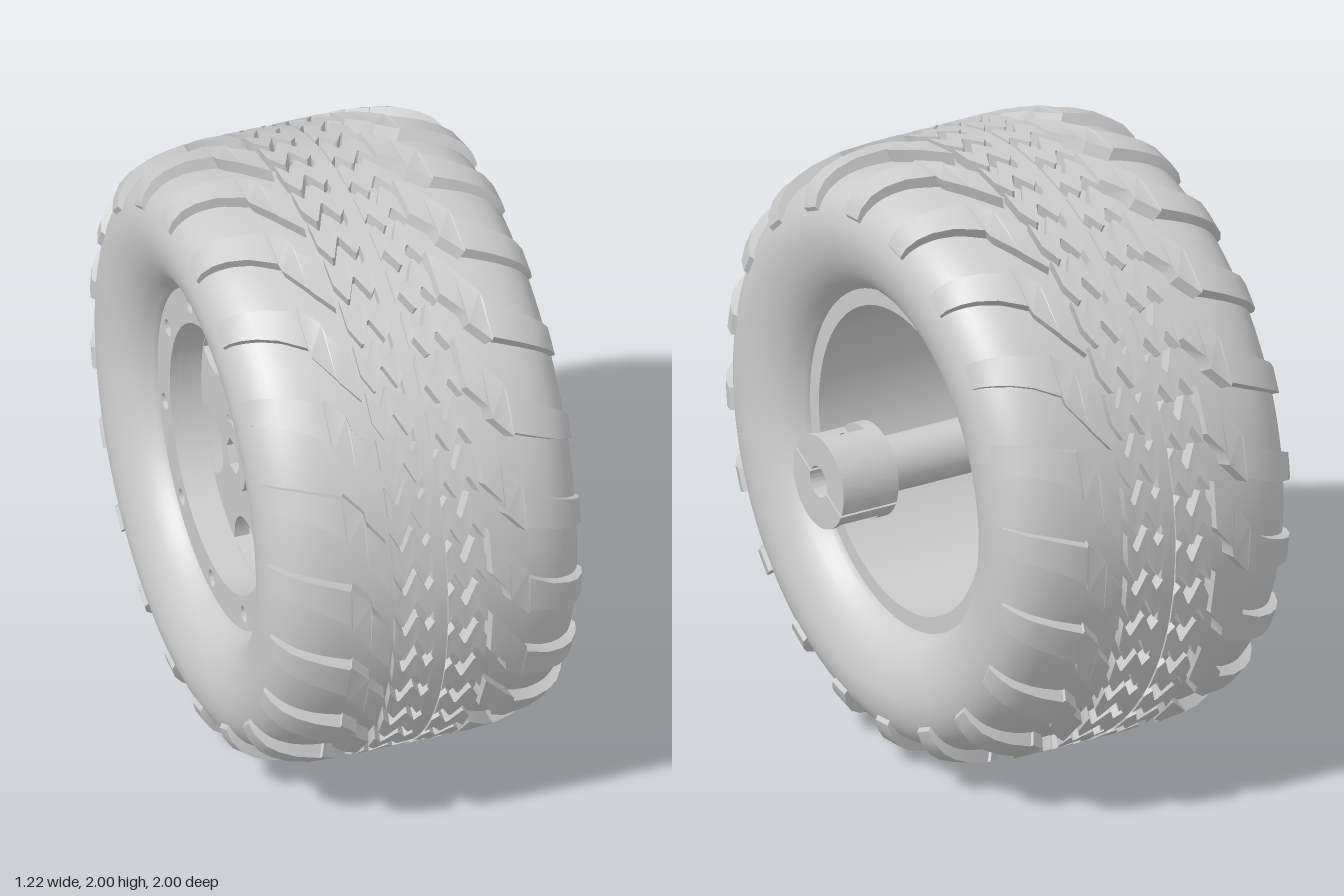
import * as THREE from 'three';
import { mergeGeometries, toCreasedNormals } from 'three/addons/utils/BufferGeometryUtils.js';

const MID = -0.085; // x of the tyre's middle plane
const V = (x, y) => new THREE.Vector2(x, y);

export function createModel() {
  const root = new THREE.Group();
  root.name = 'wheel';
  root.position.y = 1;
  const mat = new THREE.MeshStandardMaterial({ color: 0xcccccc });

  const add = (name, geo, crease = 0.6) => {
    const mesh = new THREE.Mesh(toCreasedNormals(geo, crease), mat);
    mesh.name = name;
    root.add(mesh);
    return mesh;
  };
  // Lathe around the axle; points are (radius, x)
  const lathe = (pts, seg = 80) => new THREE.LatheGeometry(pts, seg).rotateZ(-Math.PI / 2);
  // Shape in the wheel plane, extruded from x0 to x1
  const plate = (shape, x0, x1) => new THREE.ExtrudeGeometry(shape, { depth: x1 - x0, bevelEnabled: false, curveSegments: 32 })
    .rotateY(Math.PI / 2).translate(x0, 0, 0);
  const rod = (r, x0, x1, seg = 32) => new THREE.CylinderGeometry(r, r, x1 - x0, seg)
    .rotateZ(-Math.PI / 2).translate((x0 + x1) / 2, 0, 0);
  const disc = (r, x = 0, y = 0) => new THREE.Path().absarc(x, y, r, 0, Math.PI * 2);

  // Tyre carcass
  const half = [[0.56, 0.40], [0.60, 0.46], [0.67, 0.505], [0.76, 0.525], [0.84, 0.51],
    [0.90, 0.465], [0.937, 0.39], [0.952, 0.28], [0.956, 0.1]];
  const section = [...half.map(([r, u]) => V(r, -u)), ...half.slice().reverse().map(([r, u]) => V(r, u))];
  const profile = new THREE.SplineCurve(section).getPoints(56);
  add('tyreCarcass', lathe([...profile, profile[0].clone()], 96).translate(MID, 0, 0), 0.8);

  // Tread block swept along rows of [u, angle, half width in radians, top radius];
  // side -1 is the half-turn copy on the other half of the tyre
  const block = (rows, turn, side) => {
    const pos = [], idx = [];
    rows.forEach(([u, a, h, top]) => {
      for (const [s, t] of [[-1, 0], [-1, 1], [1, 1], [1, 0]]) {
        const r = t ? top : top - 0.06;
        const ang = turn + side * (a + s * h);
        pos.push(MID + side * u * (t ? 1 : 0.92), r * Math.sin(ang), r * Math.cos(ang));
      }
    });
    const n = rows.length;
    for (let i = 0; i < n - 1; i++) for (let k = 0; k < 4; k++) {
      const a = i * 4 + k, b = i * 4 + (k + 1) % 4;
      idx.push(a, a + 4, b + 4, a, b + 4, b);
    }
    const e = (n - 1) * 4;
    idx.push(0, 1, 2, 0, 2, 3, e, e + 2, e + 1, e, e + 3, e + 2);
    const g = new THREE.BufferGeometry();
    g.setAttribute('position', new THREE.Float32BufferAttribute(pos, 3));
    g.setIndex(idx);
    return g;
  };
  const addTread = (name, rows, count) => {
    const parts = [];
    for (let i = 0; i < count; i++) {
      const turn = i * Math.PI * 2 / count + 0.05;
      parts.push(block(rows, turn, 1), block(rows, turn - 0.03, -1));
    }
    add(name, mergeGeometries(parts), 0.5);
  };
  addTread('shoulderLugs', [
    [-0.521, 0.13, 0.045, 0.85], [-0.51, 0.125, 0.048, 0.888], [-0.48, 0.11, 0.05, 0.93],
    [-0.44, 0.095, 0.052, 0.957], [-0.38, 0.07, 0.055, 0.98], [-0.30, 0.03, 0.065, 0.995],
    [-0.295, 0.02, 0.085, 0.995], [-0.235, -0.06, 0.095, 1], [-0.23, -0.085, 0.08, 1], [-0.172, -0.16, 0.08, 1]], 20);
  addTread('zigzagTreadBars', [
    [-0.155, 0.05, 0.05, 1], [-0.125, -0.01, 0.052, 1], [-0.118, -0.01, 0.052, 1],
    [-0.085, 0.06, 0.048, 1], [-0.078, 0.06, 0.048, 1], [-0.045, -0.01, 0.052, 1], [-0.023, 0.02, 0.055, 1]], 40);
  add('centreRib', lathe([V(0.94, -0.024), V(0.992, -0.024), V(0.992, 0.024), V(0.94, 0.024)], 96).translate(MID, 0, 0));

  // Rim barrel
  add('rimBarrel', lathe([V(0.565, -0.45), V(0.565, 0.31), V(0.505, 0.31), V(0.505, -0.31), V(0.44, -0.33),
    V(0.44, -0.45), V(0.565, -0.45)]));

  // Clamping ring with ten bolts
  const ring = new THREE.Shape().absarc(0, 0, 0.555, 0, Math.PI * 2);
  ring.holes.push(disc(0.44));
  const bolts = [];
  for (let i = 0; i < 10; i++) {
    const a = (i + 0.64) * Math.PI / 5, x = 0.5 * Math.cos(a), y = 0.5 * Math.sin(a);
    ring.holes.push(disc(0.028, x, y));
    bolts.push(rod(0.018, -0.47, -0.44, 6).translate(0, y, -x));
  }
  add('clampingRing', plate(ring, -0.485, -0.445));
  add('ringBolts', mergeGeometries(bolts));

  // Wheel disc with six rounded windows; blind hub holes on the outer layer only
  const discShape = blindHoles => {
    const face = new THREE.Shape().absarc(0, 0, 0.46, 0, Math.PI * 2);
    for (let i = 0; i < 6; i++) {
      const turn = i * Math.PI / 3 + 0.03, pts = [];
      for (let k = 0; k <= 14; k++) {
        const t = k / 14 * Math.PI;
        pts.push(V(0.113 * Math.cos(t), 0.4 - 0.12 * Math.sin(t)));
      }
      for (let k = 0; k <= 6; k++) {
        const t = -0.26 + 0.52 * k / 6;
        pts.push(V(0.437 * Math.sin(t), 0.437 * Math.cos(t)));
      }
      face.holes.push(new THREE.Path(pts.map(p => p.rotateAround(V(0, 0), turn))));
      if (blindHoles) face.holes.push(disc(0.016, 0.18 * Math.cos(turn), 0.18 * Math.sin(turn)));
    }
    return face;
  };
  add('wheelDisc', mergeGeometries([plate(discShape(true), -0.38, -0.355), plate(discShape(false), -0.355, -0.33)]));

  // Outer hub cap with a hexagonal socket
  const cap = new THREE.Shape().absarc(0, 0, 0.115, 0, Math.PI * 2);
  cap.holes.push(new THREE.Path(Array.from({ length: 6 }, (_, i) =>
    V(0.06 * Math.cos(i * Math.PI / 3), 0.06 * Math.sin(i * Math.PI / 3)))));
  add('hubCap', plate(cap, -0.43, -0.37));

  // Axle tube
  add('axle', rod(0.09, -0.34, 0.43));

  // Split clamp collar: two halves, each with a screw pocket in the middle slice
  const R = 0.155, BORE = 0.052;
  const collarHalf = pocket => {
    const s = new THREE.Shape();
    const g = 0.03, gi = 0.09;
    s.moveTo(R * Math.cos(g), R * Math.sin(g));
    if (pocket) {
      s.absarc(0, 0, R, g, Math.acos(-0.05 / R));
      s.lineTo(-0.05, 0.08);
      s.quadraticCurveTo(-0.05, 0.055, -0.075, 0.055);
      s.lineTo(-Math.sqrt(R * R - 0.055 ** 2), 0.055);
      s.absarc(0, 0, R, Math.PI - Math.asin(0.055 / R), Math.PI - g);
    } else s.absarc(0, 0, R, g, Math.PI - g);
    s.lineTo(-BORE * Math.cos(gi), BORE * Math.sin(gi));
    s.absarc(0, 0, BORE, Math.PI - gi, gi, true);
    s.closePath();
    return s;
  };
  for (const [name, turn] of [['upperCollarHalf', -0.44], ['lowerCollarHalf', Math.PI - 0.44]]) {
    add(name, mergeGeometries([plate(collarHalf(false), 0.41, 0.455), plate(collarHalf(true), 0.455, 0.595),
      plate(collarHalf(false), 0.595, 0.612)])).rotation.x = turn;
    // Screw heads with a hollow socket
    const head = new THREE.Shape().absarc(0, 0, 0.024, 0, Math.PI * 2);
    head.holes.push(disc(0.012));
    const screws = [0.488, 0.56].map(x => new THREE.ExtrudeGeometry(head, { depth: 0.025, bevelEnabled: false })
      .rotateX(-Math.PI / 2).translate(x, 0.05, 0.095));
    add(name + 'Screws', mergeGeometries(screws)).rotation.x = turn;
  }
  return root;
}
